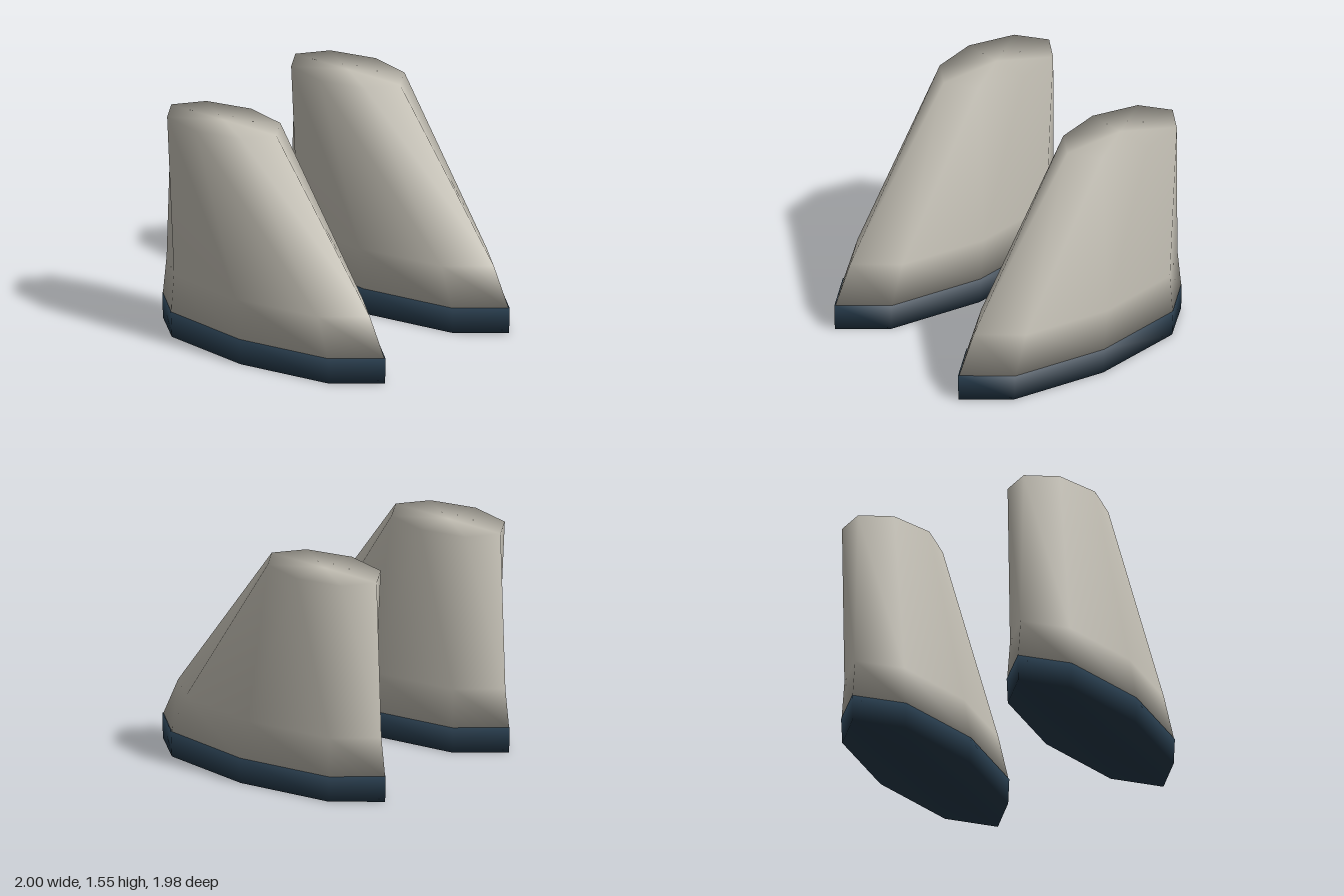
import * as THREE from 'three';

const SIDES = 8;

// Closed smooth loft through octagonal rings [y, halfWidth, zBack, zFront].
function loft(rings) {
  const pos = [], idx = [];
  for (const [y, rx, zb, zf] of rings) {
    for (let i = 0; i < SIDES; i++) {
      const a = (i / SIDES) * Math.PI * 2;
      pos.push(Math.sin(a) * rx, y, (zb + zf) / 2 + (Math.cos(a) * (zf - zb)) / 2);
    }
  }
  for (let r = 0; r < rings.length - 1; r++) {
    for (let i = 0; i < SIDES; i++) {
      const a = r * SIDES + i, b = r * SIDES + ((i + 1) % SIDES);
      idx.push(a, b, a + SIDES, b, b + SIDES, a + SIDES);
    }
  }
  // end caps fan out from a centre point and share the rim normals
  for (const r of [0, rings.length - 1]) {
    const [y, , zb, zf] = rings[r];
    const c = pos.length / 3;
    pos.push(0, y, (zb + zf) / 2);
    for (let i = 0; i < SIDES; i++) {
      const a = r * SIDES + i, b = r * SIDES + ((i + 1) % SIDES);
      if (r === 0) idx.push(c, b, a);
      else idx.push(c, a, b);
    }
  }
  const g = new THREE.BufferGeometry();
  g.setAttribute('position', new THREE.Float32BufferAttribute(pos, 3));
  g.setIndex(idx);
  g.computeVertexNormals();
  return g;
}

export function createModel() {
  const leather = new THREE.MeshStandardMaterial({ color: 0xc4c0b5 });
  leather.name = 'pale grey leather';
  const rubber = new THREE.MeshStandardMaterial({ color: 0x253949 });
  rubber.name = 'dark blue rubber';

  // sole slab, slightly narrower at the ground
  const soleGeo = loft([
    [0, 0.347, -0.985, 0.985],
    [0.18, 0.357, -0.99, 0.99],
  ]);
  // body of the boot: flared foot, sloping front and closed top
  const bodyGeo = loft([
    [0.18, 0.354, -0.985, 0.98],
    [0.45, 0.33, -0.952, 0.85],
    [1.55, 0.287, -0.91, 0.02],
  ]);

  const model = new THREE.Group();
  model.name = 'boots';
  for (const [side, x] of [['left', 0.643], ['right', -0.643]]) {
    const boot = new THREE.Group();
    boot.name = `${side}Boot`;
    boot.position.x = x;
    for (const [name, geo, mat] of [
      ['sole', soleGeo, rubber],
      ['bootBody', bodyGeo, leather],
    ]) {
      const mesh = new THREE.Mesh(geo, mat);
      mesh.name = name;
      boot.add(mesh);
    }
    model.add(boot);
  }
  return model;
}
